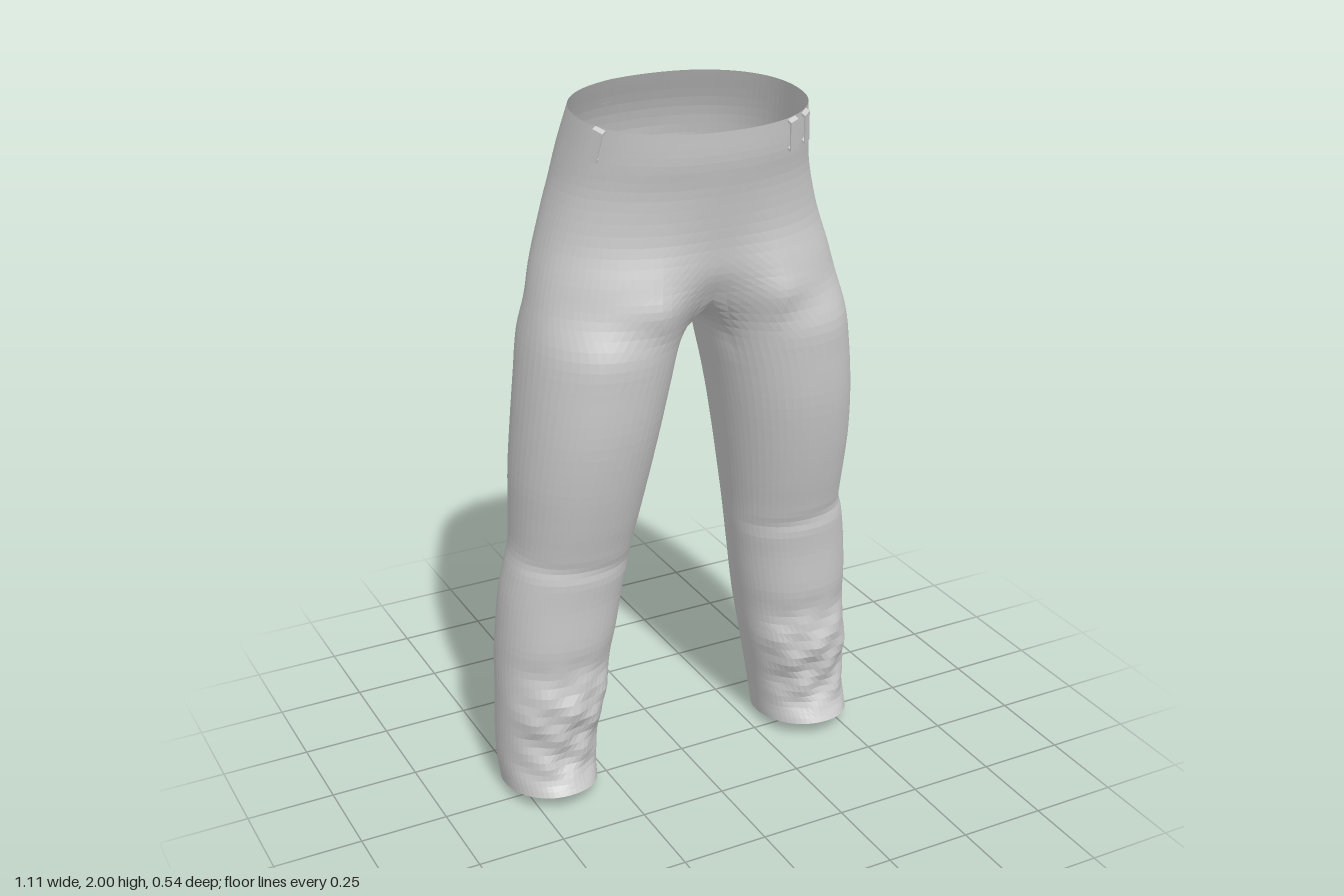
import * as THREE from 'three';

// Torso sections, top to crotch: y, half width, front z, back z, centre dip, tilt
const TORSO = [
  [1.979, 0.32, 0.27, -0.19, 0, -0.1],
  [1.88, 0.336, 0.262, -0.243, 0, -0.03],
  [1.78, 0.356, 0.243, -0.267, 0, 0],
  [1.66, 0.39, 0.236, -0.276, 0.012, 0],
  [1.56, 0.42, 0.256, -0.276, 0.045, 0],
  [1.48, 0.44, 0.27, -0.268, 0.095, 0],
];
// Leg sections, thigh to hem: y, inner x, outer x, front z, back z, tilt
const LEG = [
  [1.38, 0.042, 0.462, 0.243, -0.228, 0],
  [1.27, 0.072, 0.478, 0.238, -0.213, 0],
  [1.14, 0.1, 0.492, 0.225, -0.205, 0],
  [1.0, 0.126, 0.502, 0.198, -0.2, 0],
  [0.88, 0.147, 0.503, 0.168, -0.196, 0],
  [0.78, 0.164, 0.505, 0.14, -0.192, 0],
  [0.71, 0.174, 0.52, 0.13, -0.192, 0],
  [0.62, 0.189, 0.536, 0.119, -0.2, 0],
  [0.5, 0.208, 0.546, 0.112, -0.21, 0],
  [0.41, 0.224, 0.55, 0.1, -0.214, 0],
  [0.3, 0.243, 0.553, 0.115, -0.214, 0],
  [0.19, 0.265, 0.556, 0.1, -0.21, 0.03],
  [0.1, 0.28, 0.556, 0.106, -0.205, 0.09],
  [0.03, 0.288, 0.55, 0.135, -0.2, 0.15],
];
const OUTER = 48, INNER = 12, COLS = OUTER + INNER, STEPS = 4;
const CROTCH = TORSO.length - 1;
const SEAM = 62; // angle at which the inner leg panel begins

const power = (v, n) => Math.sign(v) * Math.abs(v) ** (2 / n);
const smooth = THREE.MathUtils.smoothstep;

// Half of the hip ring, from centre front round the side to centre back
function torsoPoint([y, w, front, back, dip, tilt], u) {
  const a = Math.PI * u, c = Math.cos(a);
  const x = u >= 1 ? 0 : w * power(Math.sin(a), 2.2);
  let z = (front + back) / 2 + (front - back) / 2 * power(c, 2.2);
  z -= Math.sign(c) * dip * (1 - smooth(x, 0, 0.2));
  return new THREE.Vector3(x, y + tilt * z, z);
}

// Closed leg ring; angle is measured from the front towards the outside
function legPoint([y, inner, outer, front, back, tilt], angle) {
  const a = THREE.MathUtils.degToRad(angle);
  const x = (inner + outer) / 2 + (outer - inner) / 2 * power(Math.sin(a), 2.15);
  const z = (front + back) / 2 + (front - back) / 2 * power(Math.cos(a), 2.15);
  return new THREE.Vector3(x, y + tilt * z, z);
}

// Lengthwise curve of one column of the cloth
function columnCurve(c) {
  const isInner = c > OUTER;
  const v = (c - OUTER) / INNER;
  const angle = isInner
    ? 180 + SEAM + (180 - 2 * SEAM) * v
    : -SEAM + (180 + 2 * SEAM) * c / OUTER;
  const backSeam = torsoPoint(TORSO[CROTCH], 1), frontSeam = torsoPoint(TORSO[CROTCH], 0);
  const points = TORSO.map((s) => {
    if (!isInner) return torsoPoint(s, c / OUTER);
    const p = backSeam.clone().lerp(frontSeam, v); // crotch seam
    p.y -= 0.07 * Math.sin(Math.PI * v);
    return p;
  });
  LEG.forEach((s) => points.push(legPoint(s, angle)));
  return new THREE.CatmullRomCurve3(points, false, 'catmullrom', 0.5);
}

// Uneven folds: crease below the knee, bunching above the hem, faint seat ripples
function addFolds(p) {
  const front = smooth(p.z, -0.04, 0.08);
  const knee = Math.exp(-(((p.y - 0.74 - 0.1 * (p.x - 0.35)) / 0.025) ** 2));
  const ankle = smooth(p.y, 0.05, 0.13) * (1 - smooth(p.y, 0.25, 0.5));
  p.z -= front * 0.006 * knee;
  p.z += front * ankle * (0.005 * Math.sin(55 * p.y - 38 * p.x) + 0.004 * Math.sin(29 * p.y + 61 * p.x));
  const seat = smooth(p.y, 1.5, 1.6) * (1 - smooth(p.y, 1.75, 1.87)) * (1 - smooth(p.z, -0.2, -0.05));
  p.z += 0.0015 * seat * Math.sin(50 * p.y + 18 * p.x);
}

// One half of the trousers, open at the waist and hem
function halfGeometry(side) {
  const rows = (TORSO.length + LEG.length - 1) * STEPS;
  const position = [], index = [];
  for (let c = 0; c < COLS; c++) {
    const curve = columnCurve(c);
    for (let r = 0; r <= rows; r++) {
      const p = curve.getPoint(r / rows);
      p.x = Math.max(p.x, 0);
      if (r <= CROTCH * STEPS && (c === 0 || c === OUTER)) p.x = 0;
      addFolds(p);
      position.push(side * p.x, p.y, p.z);
    }
  }
  for (let c = 0; c < COLS; c++) {
    const next = (c + 1) % COLS;
    for (let r = c < OUTER ? 0 : CROTCH * STEPS; r < rows; r++) {
      const a = c * (rows + 1) + r, b = next * (rows + 1) + r;
      if (side > 0) index.push(a, a + 1, b + 1, a, b + 1, b);
      else index.push(a, b + 1, a + 1, a, b, b + 1);
    }
  }
  const g = new THREE.BufferGeometry();
  g.setAttribute('position', new THREE.Float32BufferAttribute(position, 3));
  g.setIndex(index);
  g.computeVertexNormals();
  return g;
}

// Belt loop: a thin strap standing just off the waistband
function beltLoop(u, side, material) {
  const on = (k, t) => torsoPoint(TORSO[k], t).multiply(new THREE.Vector3(side, 1, 1));
  const top = on(0, u), low = on(1, u);
  const along = on(0, u + 0.01).sub(on(0, u - 0.01)).normalize().multiplyScalar(side);
  const up = top.clone().sub(low).normalize();
  const out = new THREE.Vector3().crossVectors(along, up).normalize();
  const strap = new THREE.Shape([[0, 0.01], [0.009, 0.003], [0.011, 0.085], [0, 0.092],
    [0, 0.086], [0.007, 0.08], [0.006, 0.012], [0, 0.016]].map(([x, y]) => new THREE.Vector2(x, y)));
  const g = new THREE.ExtrudeGeometry(strap, { depth: 0.032, bevelEnabled: false });
  g.translate(0, -0.094, -0.016);
  const mesh = new THREE.Mesh(g, material);
  const across = new THREE.Vector3().crossVectors(out, up).normalize();
  const upright = new THREE.Vector3().crossVectors(across, out);
  mesh.quaternion.setFromRotationMatrix(new THREE.Matrix4().makeBasis(out, upright, across));
  mesh.position.copy(top);
  mesh.name = 'beltLoop';
  return mesh;
}

export function createModel() {
  const group = new THREE.Group();
  group.name = 'trousers';
  const cloth = new THREE.MeshStandardMaterial({ color: 0xcccccc, flatShading: true, side: THREE.DoubleSide });
  for (const [name, side] of [['leftHalf', 1], ['rightHalf', -1]]) {
    const half = new THREE.Mesh(halfGeometry(side), cloth);
    half.name = name;
    group.add(half);
  }
  // Two loops at the left front, one at the right side, two at the back
  for (const [u, side] of [[0.19, 1], [0.27, 1], [0.37, -1], [0.88, 1], [0.9, -1]]) {
    group.add(beltLoop(u, side, cloth));
  }
  return group;
}
